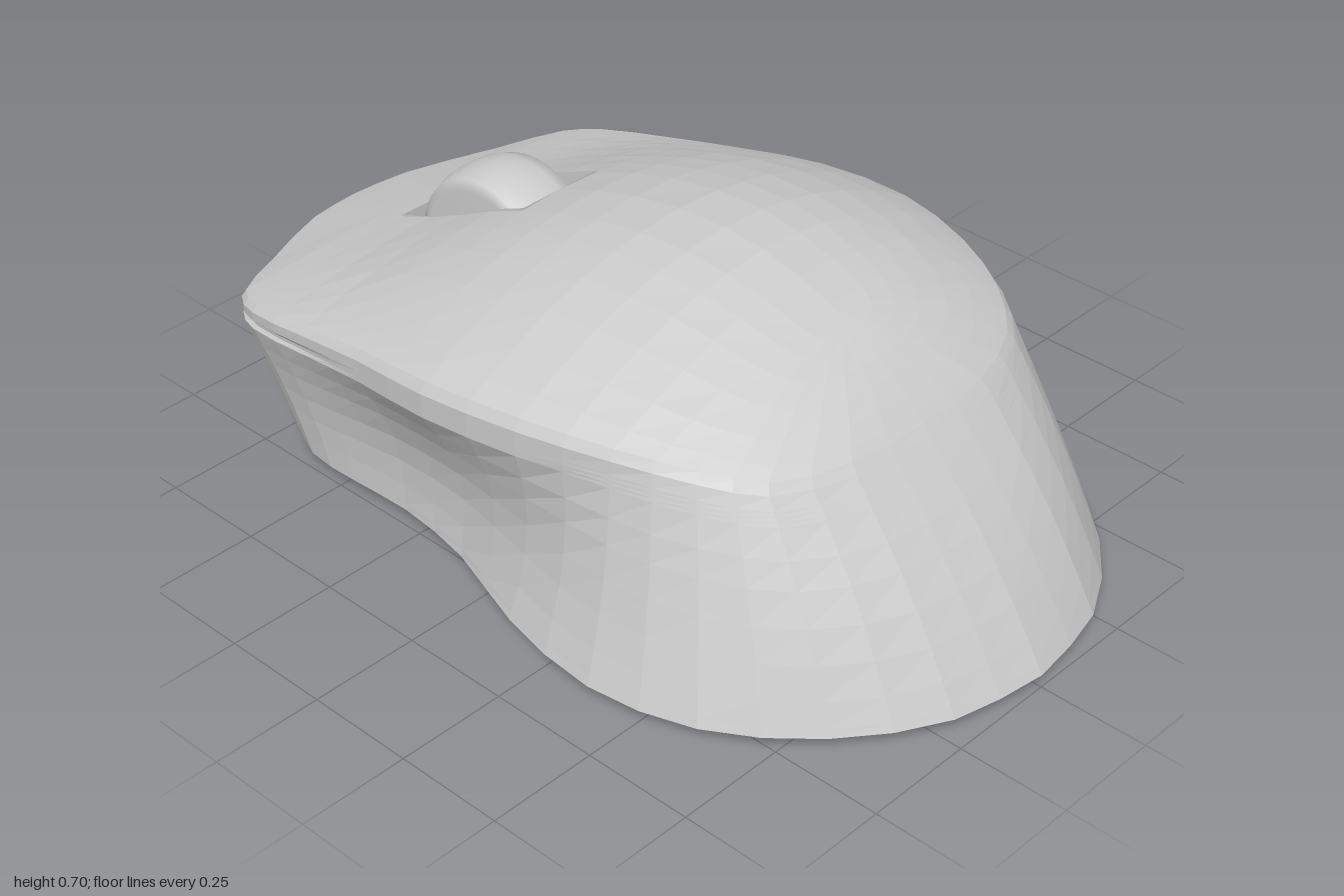
import * as THREE from 'three';

const V = (x, y, z) => new THREE.Vector3(x, y, z);
const { lerp, clamp, smoothstep } = THREE.MathUtils;

// Height of the top centre line along x
const spine = new THREE.CubicInterpolant(
  [-1, -0.8, -0.6, -0.4, -0.2, 0, 0.13, 0.3, 0.5, 0.6, 0.7, 0.8, 1],
  [0.32, 0.385, 0.46, 0.56, 0.64, 0.687, 0.698, 0.68, 0.605, 0.54, 0.445, 0.32, 0.03], 1);
const spineY = x => spine.evaluate(x)[0];

// Half outlines from nose to tail: shoulder crease and base edge
const RIM = [[-1, 0.31, 0], [-0.98, 0.315, 0.14], [-0.88, 0.335, 0.35], [-0.8, 0.355, 0.49], [-0.71, 0.375, 0.535],
  [-0.52, 0.415, 0.56], [-0.32, 0.455, 0.58], [-0.1, 0.49, 0.605], [0.15, 0.515, 0.59], [0.35, 0.515, 0.535],
  [0.5, 0.5, 0.46], [0.6, 0.475, 0.37], [0.665, 0.468, 0.2], [0.68, 0.466, 0]];
const BASE = [[-0.78, 0], [-0.77, 0.15], [-0.74, 0.34], [-0.69, 0.44], [-0.6, 0.49],
  [-0.46, 0.495], [-0.3, 0.49], [-0.1, 0.52], [0.12, 0.595], [0.38, 0.635],
  [0.62, 0.58], [0.82, 0.43], [0.96, 0.22], [1, 0]];
const SUB = 2, HALF = (RIM.length - 1) * SUB;
const SLOT = { x0: -0.71, x1: -0.32, s: 0.19, half: 0.107 };

const resample = pts => new THREE.CatmullRomCurve3(pts).getPoints(HALF);
const rim = resample(RIM.map(p => V(...p)));
const base = resample(BASE.map(([x, z]) => V(x, 0.03, z)));

// Closed ring: left half from nose to tail, then its mirror back to the nose
function ring(pointAt) {
  const left = rim.map((_, i) => pointAt(i));
  const right = left.slice(0, -1).reverse().map(p => V(p.x, p.y, -p.z));
  return [...left, ...right];
}

// Joins rows of points with quads, leaving out the cells named by skip
function loft(rows, skip = () => false) {
  const pos = [], idx = [], n = rows[0].length;
  rows.forEach(row => row.forEach(p => pos.push(p.x, p.y, p.z)));
  for (let r = 0; r < rows.length - 1; r++) {
    for (let i = 0; i < n - 1; i++) {
      if (skip(r, i)) continue;
      const a = r * n + i, d = a + n;
      idx.push(a, a + 1, d + 1, a, d + 1, d);
    }
  }
  const g = new THREE.BufferGeometry();
  g.setAttribute('position', new THREE.Float32BufferAttribute(pos, 3));
  g.setIndex(idx);
  g.computeVertexNormals();
  return g;
}

// Side wall: hollowed at the grip, upright below the shoulder, straight at the tail
function sidePoint(i, t, groove = 0) {
  const b = base[i], r = rim[i];
  const reach = lerp(0.85, 1, smoothstep(b.x, 0.1, 0.6));
  const u = Math.min(1, t / reach), swell = Math.sin(Math.PI * u);
  const grip = 0.05 * Math.exp(-(((b.x + 0.05) / 0.4) ** 2));
  const z = lerp(b.z, r.z, u);
  const x = lerp(b.x, r.x, u) + 0.02 * swell * smoothstep(b.x, 0.5, 1);
  const k = 1 - groove * (1 - smoothstep(r.x, -0.7, -0.3));
  return V(x * k, lerp(b.y, r.y, t), (z - Math.min(z, grip * swell)) * k);
}

// Top shell: shoulder outline shrunk onto the centre line, crowned in section
function topPoint(i, s) {
  const r = rim[i];
  const x = lerp(clamp(r.x, -0.75, 0.45), r.x, s);
  return V(x, spineY(x) - (spineY(r.x) - r.y) * s * s, r.z * s);
}

function bodyGeometry() {
  const rows = [ring(i => V(base[i].x, 0.03, 0))];
  for (const t of [0, 0.04, 0.15, 0.3, 0.45, 0.6, 0.72, 0.85]) rows.push(ring(i => sidePoint(i, t)));
  // Seam under the front lip
  for (const [t, g] of [[0.87, 0.012], [0.89, 0.012], [0.91, 0], [0.97, 0]]) rows.push(ring(i => sidePoint(i, t, g)));
  const firstTop = rows.length;
  const shrink = [0.975, 0.9, 0.78, 0.62, 0.46, 0.32, SLOT.s, 0];
  for (const s of shrink) rows.push(ring(i => topPoint(i, s)));
  // Opening for the wheel
  const slotRow = firstTop + shrink.indexOf(SLOT.s);
  return loft(rows, (r, i) => {
    const col = i < HALF ? i : 2 * HALF - 1 - i;
    const mid = (rim[col].x + rim[col + 1].x) / 2;
    return r === slotRow && mid > SLOT.x0 && mid < SLOT.x1;
  });
}

// Shallow tray lining the wheel opening
function wellGeometry() {
  const rows = [], n = 6, w = SLOT.half;
  for (let k = 0; k <= n; k++) {
    const x = lerp(SLOT.x0, SLOT.x1, k / n), y = spineY(x);
    const section = d => [V(x, y, w), V(x, y - d, w), V(x, y - d, -w), V(x, y, -w)];
    if (k === 0) rows.push(section(0));
    rows.push(section(0.07));
    if (k === n) rows.push(section(0));
  }
  return loft(rows);
}

// Scroll wheel with rounded shoulders, axle along z
function wheelGeometry() {
  const profile = [[0, -0.09], [0.17, -0.09], [0.192, -0.08], [0.204, -0.045],
    [0.208, 0], [0.204, 0.045], [0.192, 0.08], [0.17, 0.09], [0, 0.09]];
  return new THREE.LatheGeometry(profile.map(p => new THREE.Vector2(...p)), 32).rotateX(Math.PI / 2);
}

// Raised sole plate with sensor window and screw holes
function soleGeometry() {
  const half = [[-0.69, 0], [-0.68, 0.2], [-0.64, 0.36], [-0.53, 0.42], [-0.3, 0.4], [-0.1, 0.42],
    [0.1, 0.465], [0.3, 0.49], [0.48, 0.46], [0.62, 0.34], [0.7, 0.16], [0.72, 0]];
  const left = new THREE.SplineCurve(half.map(p => new THREE.Vector2(...p))).getPoints(33);
  const right = left.slice(1, -1).reverse().map(p => new THREE.Vector2(p.x, -p.y));
  const shape = new THREE.Shape([...left, ...right]);
  for (const [x, z, rx, rz] of [[0.33, 0, 0.15, 0.045], [-0.53, 0.12, 0.035, 0.03], [-0.53, -0.12, 0.035, 0.03]]) {
    shape.holes.push(new THREE.Path().absellipse(x, z, rx, rz, 0, Math.PI * 2, true));
  }
  return new THREE.ExtrudeGeometry(shape, { depth: 0.03, bevelEnabled: false, curveSegments: 8 })
    .rotateX(Math.PI / 2).translate(0, 0.03, 0);
}

export function createModel() {
  const group = new THREE.Group();
  group.name = 'computerMouse';
  const faceted = new THREE.MeshStandardMaterial({ color: 0xcccccc, flatShading: true });
  const open = new THREE.MeshStandardMaterial({ color: 0xcccccc, flatShading: true, side: THREE.DoubleSide });
  const smooth = new THREE.MeshStandardMaterial({ color: 0xcccccc });
  const add = (name, geometry, material) => {
    const mesh = new THREE.Mesh(geometry, material);
    mesh.name = name;
    group.add(mesh);
    return mesh;
  };
  add('body', bodyGeometry(), faceted);
  add('wheelWell', wellGeometry(), open);
  add('scrollWheel', wheelGeometry(), smooth).position.set(-0.475, 0.385, 0);
  add('solePlate', soleGeometry(), faceted);
  return group;
}
